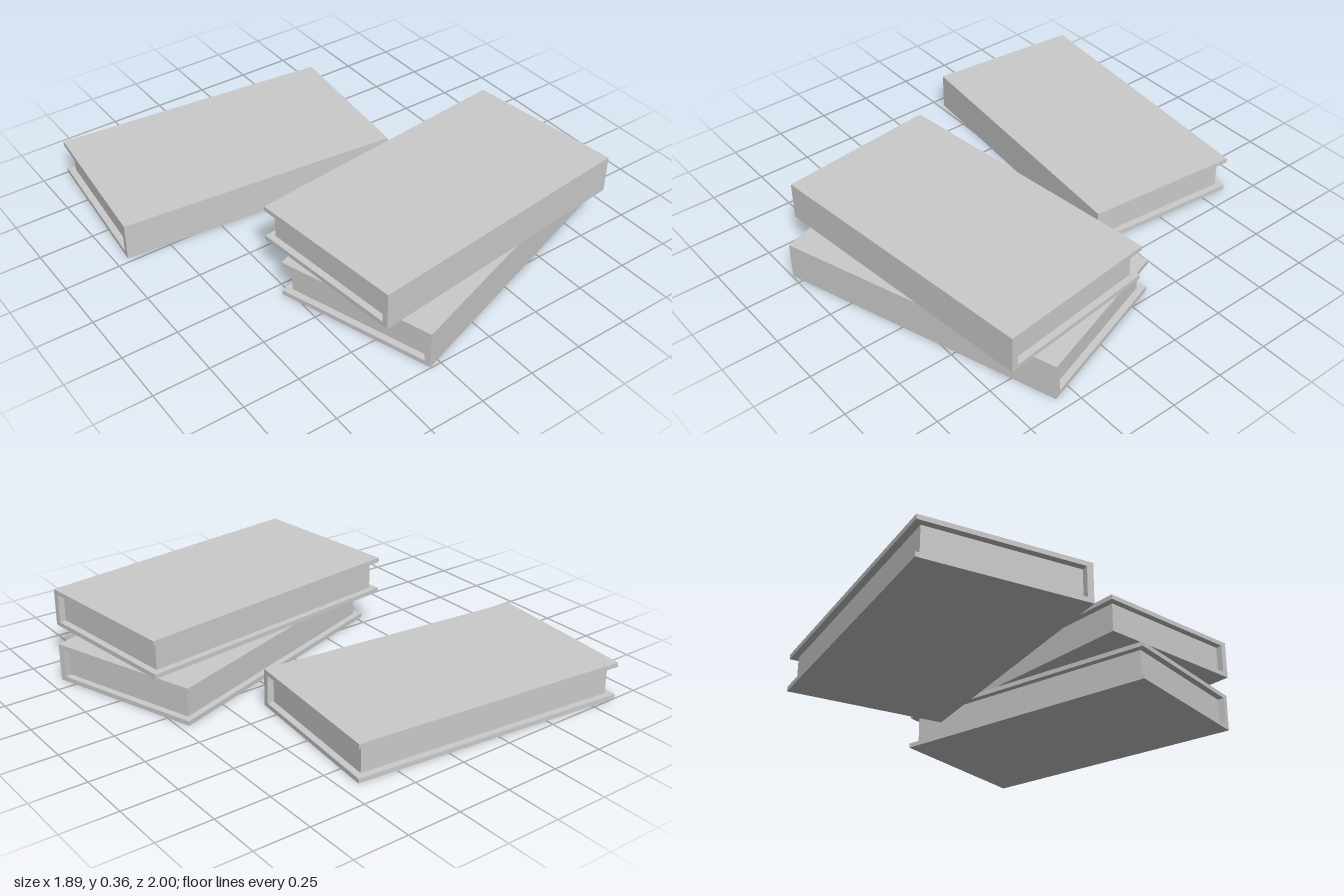
import * as THREE from 'three';

const LENGTH = 1.311, DEPTH = 0.729, HEIGHT = 0.173;
const BOARD = 0.021, SPINE = 0.028, OVERHANG = 0.03;

const material = new THREE.MeshStandardMaterial({ color: 0xcccccc, flatShading: true });

// One closed book: a C-shaped cover with its spine on +z, around a block of pages
function createBook() {
  const book = new THREE.Group();

  const back = -DEPTH / 2, front = DEPTH / 2;
  const profile = new THREE.Shape([
    [back, 0], [front, 0], [front, HEIGHT], [back, HEIGHT],
    [back, HEIGHT - BOARD], [front - SPINE, HEIGHT - BOARD],
    [front - SPINE, BOARD], [back, BOARD],
  ].map(([z, y]) => new THREE.Vector2(z, y)));
  const coverGeometry = new THREE.ExtrudeGeometry(profile, { depth: LENGTH, bevelEnabled: false });
  coverGeometry.translate(0, 0, -LENGTH / 2).rotateY(-Math.PI / 2);
  const cover = new THREE.Mesh(coverGeometry, material);
  cover.name = 'cover';

  // Pages sit back from the cover's ends and open edge
  const pages = new THREE.Mesh(
    new THREE.BoxGeometry(LENGTH - 2 * OVERHANG, HEIGHT - 2 * BOARD, DEPTH - SPINE - OVERHANG),
    material
  );
  pages.name = 'pages';
  pages.position.set(0, HEIGHT / 2, (OVERHANG - SPINE) / 2);

  book.add(cover, pages);
  return book;
}

export function createModel() {
  const model = new THREE.Group();
  model.name = 'books';

  // Two stacked books and one lying behind them
  const placements = [
    { name: 'backBook', position: [-0.258, 0, -0.575], turn: -0.0955 },
    { name: 'lowerBook', position: [0.206, 0, 0.442], turn: 0.323 },
    { name: 'upperBook', position: [0.179, 0.189, 0.448], turn: 0.1145 },
  ];
  for (const { name, position, turn } of placements) {
    const book = createBook();
    book.name = name;
    book.position.set(...position);
    book.rotation.y = turn;
    model.add(book);
  }
  return model;
}
